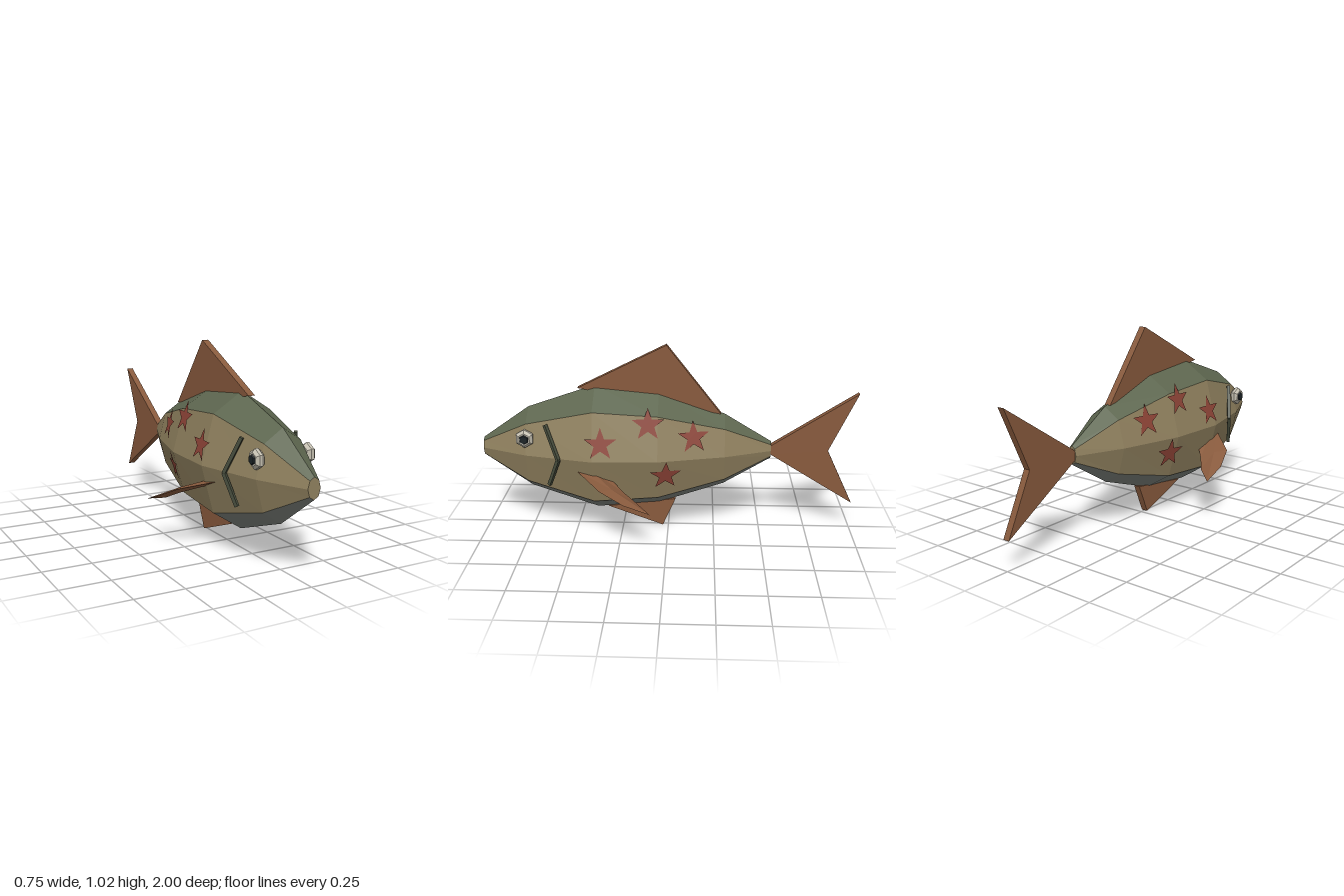
import * as THREE from 'three';

const mat = (color, side = THREE.FrontSide) =>
  new THREE.MeshStandardMaterial({ color, side, flatShading: true });
const GREEN = mat(0x5d664f), TAN = mat(0x8f805e), BELLY = mat(0x7c817b);
const FIN = mat(0x885a3d), FIN_THIN = mat(0x885a3d, THREE.DoubleSide);
const GILL = mat(0x474d3d), WHITE = mat(0xc4bfb0), BLACK = mat(0x1c2326);
const STAR = mat(0x8c4336, THREE.DoubleSide);

// Body stations from nose to tail: z, half width, half height
const MID = 0.452;
const STATIONS = [
  [1, 0.034, 0.052], [0.75, 0.142, 0.228], [0.39, 0.217, 0.352],
  [0.05, 0.212, 0.32], [-0.3, 0.125, 0.2], [-0.55, 0.025, 0.048],
];
STATIONS[2][1] = 0.227;

// Flank surface x at a given height and depth
function flankX(y, z) {
  let i = 0;
  while (i < STATIONS.length - 2 && z < STATIONS[i + 1][0]) i++;
  const [a, b] = [STATIONS[i], STATIONS[i + 1]];
  const t = (z - a[0]) / (b[0] - a[0]);
  const w = a[1] + t * (b[1] - a[1]), h = a[2] + t * (b[2] - a[2]);
  return w * (1 - 0.2929 * Math.abs(y - MID) / (0.7071 * h));
}

function flankNormal(y, z) {
  const e = 0.01;
  return new THREE.Vector3(1,
    (flankX(y - e, z) - flankX(y + e, z)) / (2 * e),
    (flankX(y, z - e) - flankX(y, z + e)) / (2 * e)).normalize();
}

function meshFrom(points, material, name) {
  const geo = new THREE.BufferGeometry();
  geo.setAttribute('position', new THREE.Float32BufferAttribute(points.flat(), 3));
  geo.computeVertexNormals();
  const mesh = new THREE.Mesh(geo, material);
  mesh.name = name;
  return mesh;
}

function named(geo, material, name) {
  const mesh = new THREE.Mesh(geo, material);
  mesh.name = name;
  return mesh;
}

// Octagonal hull split into coloured strips
function makeBody() {
  const body = new THREE.Group();
  body.name = 'body';
  const rings = STATIONS.map(([z, w, h]) => Array.from({ length: 8 }, (_, k) => {
    const a = k * Math.PI / 4;
    return [w * Math.sin(a), MID + h * Math.cos(a), z];
  }));
  const strip = (sides, caps) => {
    const tris = [];
    for (let i = 0; i < rings.length - 1; i++) {
      for (const k of sides) {
        const n = (k + 1) % 8;
        const a = rings[i][k], b = rings[i][n], c = rings[i + 1][n], d = rings[i + 1][k];
        tris.push(...a, ...b, ...c, ...a, ...c, ...d);
      }
    }
    if (caps) {
      const first = rings[0], last = rings[rings.length - 1];
      for (let k = 1; k < 7; k++) {
        tris.push(...first[0], ...first[k + 1], ...first[k]);
        tris.push(...last[0], ...last[k], ...last[k + 1]);
      }
    }
    return tris;
  };
  body.add(
    meshFrom(strip([0, 7], false), GREEN, 'back'),
    meshFrom(strip([1, 2, 5, 6], true), TAN, 'flanks'),
    meshFrom(strip([3, 4], false), BELLY, 'belly'));
  return body;
}

// Flat fin plate outlined in (z, y)
function plateFin(outline, name) {
  const t = 0.036;
  const shape = new THREE.Shape(outline.map(([z, y]) => new THREE.Vector2(-z, y)));
  const geo = new THREE.ExtrudeGeometry(shape, { depth: t, bevelEnabled: false });
  geo.translate(0, 0, -t / 2);
  geo.rotateY(Math.PI / 2);
  return named(geo, FIN, name);
}

// Leaf-shaped side fin: front edge, ridge, rear edge, underside at each station
function sideFin(s) {
  const edges = [
    [[0.18, 0.388, 0.48], [0.18, 0.335, 0.29]],
    [[0.335, 0.335, 0.34], [0.235, 0.295, 0.23]],
    [[0.375, 0.278, 0.215], [0.28, 0.26, 0.165]],
    [[0.377, 0.23, 0.08], [0.377, 0.23, 0.08]],
  ];
  const rings = edges.map(([f, r], i) => {
    const m = f.map((v, j) => (v + r[j]) / 2), lift = i < 3 ? 0.014 : 0;
    return [f, [m[0], m[1] + lift, m[2]], r, [m[0], m[1] - lift, m[2]]]
      .map(([x, y, z]) => [x * s, y, z]);
  });
  const tris = [];
  for (let i = 0; i < 3; i++) {
    for (let k = 0; k < 4; k++) {
      const n = (k + 1) % 4;
      const a = rings[i][k], b = rings[i + 1][k], c = rings[i + 1][n], d = rings[i][n];
      if (s > 0) tris.push(...a, ...b, ...c, ...a, ...c, ...d);
      else tris.push(...a, ...c, ...b, ...a, ...d, ...c);
    }
  }
  return meshFrom(tris, FIN_THIN, 'sideFin');
}

// Six-sided bevelled eye with a dark pupil
function makeEye(s) {
  const eye = new THREE.Group();
  eye.name = 'eye';
  const profile = [[0, -0.024], [0.036, -0.024], [0.05, -0.008], [0.05, 0.008], [0.034, 0.022], [0, 0.022]]
    .map(([r, h]) => new THREE.Vector2(r, h));
  const pupil = named(new THREE.CylinderGeometry(0.022, 0.028, 0.01, 6), BLACK, 'pupil');
  pupil.position.y = 0.024;
  eye.add(named(new THREE.LatheGeometry(profile, 6), WHITE, 'eyeball'), pupil);
  eye.children.forEach((m) => { m.rotation.y = Math.PI / 2; });
  eye.rotation.z = -s * Math.PI / 2;
  eye.position.set(s * 0.14, 0.548, 0.75);
  return eye;
}

// Bent gill line made from two bars
function makeGill(s) {
  const gill = new THREE.Group();
  gill.name = 'gill';
  const pts = [[0.15, 0.628, 0.637], [0.203, 0.452, 0.567], [0.165, 0.298, 0.625]]
    .map(([x, y, z]) => new THREE.Vector3(x * s, y, z));
  for (let i = 0; i < 2; i++) {
    const bar = named(new THREE.BoxGeometry(0.018, 0.018, pts[i].distanceTo(pts[i + 1])), GILL, 'gillBar');
    bar.position.lerpVectors(pts[i], pts[i + 1], 0.5);
    bar.lookAt(pts[i + 1]);
    gill.add(bar);
  }
  return gill;
}

// Flat five-pointed spot lying against the flank
function makeStar(s, z, y) {
  const pts = Array.from({ length: 10 }, (_, i) => {
    const r = i % 2 ? 0.035 : 0.088, a = i * Math.PI / 5;
    return new THREE.Vector2(r * Math.sin(a), r * Math.cos(a));
  });
  const star = named(new THREE.ShapeGeometry(new THREE.Shape(pts)), STAR, 'starSpot');
  const n = flankNormal(y, z);
  const p = new THREE.Vector3(flankX(y, z), y, z).addScaledVector(n, 0.007);
  p.x *= s;
  n.x *= s;
  star.position.copy(p);
  star.lookAt(p.clone().add(n));
  return star;
}

export function createModel() {
  const fish = new THREE.Group();
  fish.name = 'fish';
  fish.add(makeBody());
  fish.add(plateFin([[0.48, 0.79], [-0.28, 0.655], [0.01, 1.025]], 'dorsalFin'));
  fish.add(plateFin([[0.33, 0.11], [0.03, 0], [-0.04, 0.16]], 'bellyFin'));
  fish.add(plateFin([[-0.545, 0.432], [-1, 0.153], [-0.855, 0.455], [-1, 0.773], [-0.545, 0.476]], 'tailFin'));
  for (const s of [1, -1]) {
    fish.add(sideFin(s), makeEye(s), makeGill(s));
    for (const [z, y] of [[0.345, 0.542], [0.1, 0.64], [-0.135, 0.565], [0.01, 0.37]]) {
      fish.add(makeStar(s, z, y));
    }
  }
  return fish;
}
